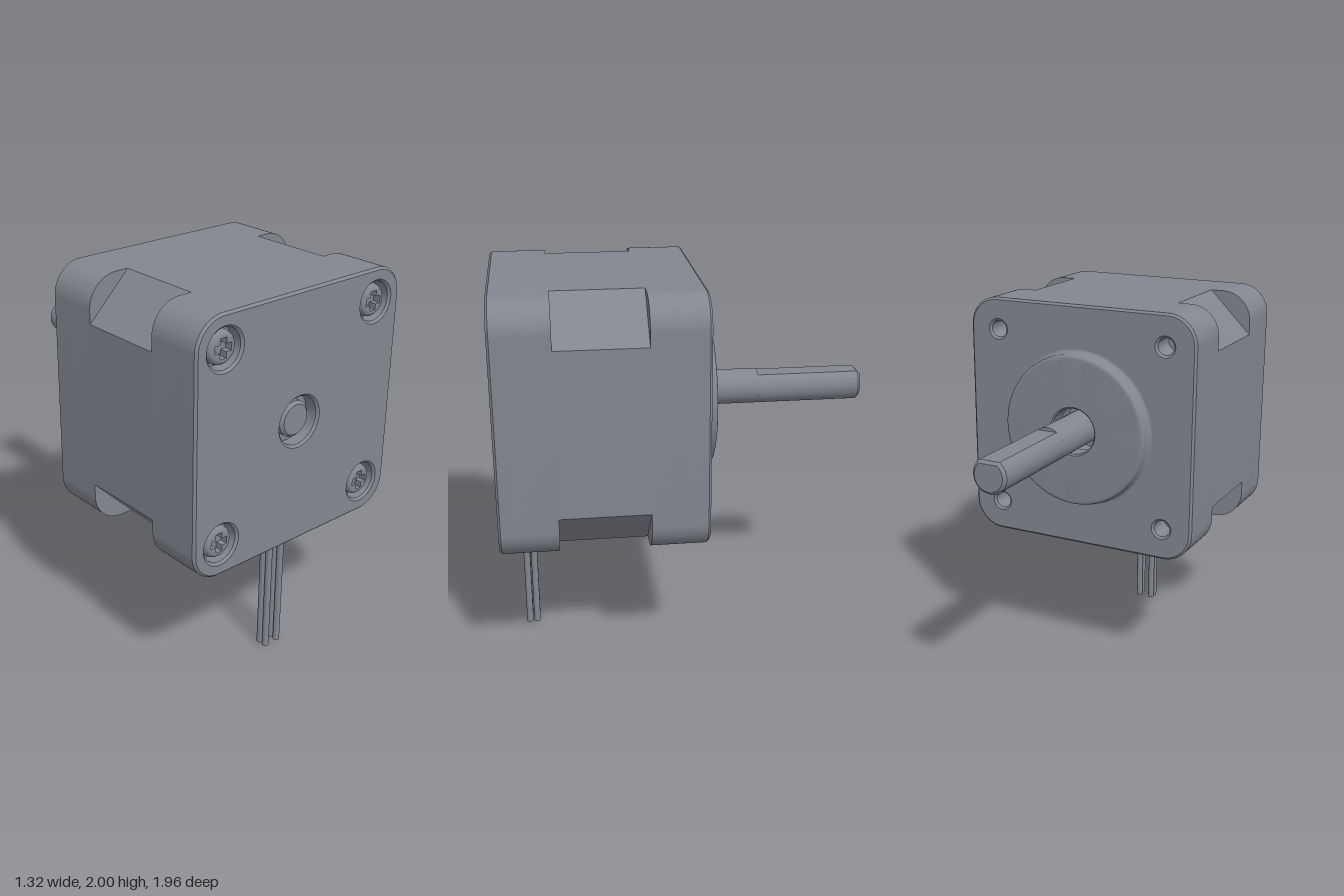
import * as THREE from 'three';
import { toCreasedNormals } from 'three/addons/utils/BufferGeometryUtils.js';

const HALF = 0.66, CY = 1.34, BOLT = 0.49, BEVEL = 0.012;
const metal = new THREE.MeshStandardMaterial({ color: 0x82868f });

function part(name, geometry, parent) {
  const mesh = new THREE.Mesh(toCreasedNormals(geometry, 0.45), metal);
  mesh.name = name;
  parent.add(mesh);
  return mesh;
}

// Extrudes a shape from z0 to z1, with a chamfer inside the outline
function slab(shape, z0, z1, bevel = 0) {
  const g = new THREE.ExtrudeGeometry(shape, {
    depth: z1 - z0 - 2 * bevel, curveSegments: 16, bevelEnabled: bevel > 0,
    bevelThickness: bevel, bevelSize: bevel, bevelOffset: -bevel, bevelSegments: 1,
  });
  return g.translate(0, 0, z0 + bevel);
}

// Turns a [radius, z] profile around the z axis
function turned(profile, segments = 48) {
  return new THREE.LatheGeometry(profile.map(p => new THREE.Vector2(...p)), segments).rotateX(Math.PI / 2);
}

function roundedSquare(r = 0.16) {
  const s = new THREE.Shape(), k = HALF - r;
  s.absarc(k, k, r, 0, Math.PI / 2);
  s.absarc(-k, k, r, Math.PI / 2, Math.PI);
  s.absarc(-k, -k, r, Math.PI, Math.PI * 1.5);
  s.absarc(k, -k, r, Math.PI * 1.5, Math.PI * 2);
  s.closePath();
  return s;
}

const corners = [[1, 1], [-1, 1], [-1, -1], [1, -1]].map(([x, y]) => [x * BOLT, y * BOLT]);

function platedSquare(boltRadius, centreRadius) {
  const s = roundedSquare();
  for (const [x, y, r] of [...corners.map(c => [...c, boltRadius]), [0, 0, centreRadius]])
    s.holes.push(new THREE.Path().absarc(x, y, r, 0, Math.PI * 2, true));
  return s;
}

function crossPath(w, l) {
  return [[w, l], [-w, l], [-w, w], [-l, w], [-l, -w], [-w, -w],
    [-w, -l], [w, -l], [w, -w], [l, -w], [l, w], [w, w]].map(p => new THREE.Vector2(...p));
}

export function createModel() {
  const model = new THREE.Group();
  model.name = 'steppingMotor';
  const motor = new THREE.Group();
  motor.name = 'motor';
  motor.position.y = CY;
  model.add(motor);

  // Middle stack with cut corners
  const k = HALF - 0.23;
  const octagon = new THREE.Shape([[HALF, -k], [HALF, k], [k, HALF], [-k, HALF], [-HALF, k],
    [-HALF, -k], [-k, -HALF], [k, -HALF]].map(p => new THREE.Vector2(...p)));
  part('middleStack', slab(octagon, 0.22, 0.68), motor);

  // End caps: solid inner block plus a drilled outer plate
  part('frontCapBlock', slab(roundedSquare(), 0.68, 0.89 + BEVEL), motor);
  part('frontCapPlate', slab(platedSquare(0.1, 0.125), 0.89, 0.98, BEVEL), motor);
  part('rearCapBlock', slab(roundedSquare(), 0.08 - BEVEL, 0.22), motor);
  part('rearCapPlate', slab(platedSquare(0.045, 0.14), -0.078, 0.08, BEVEL), motor);

  // Raised pilot ring around the shaft exit
  part('pilotRing', turned([[0.125, -0.05], [0.125, -0.142], [0.133, -0.15], [0.385, -0.15], [0.39, -0.15],
    [0.4, -0.147], [0.407, -0.14], [0.41, -0.13], [0.41, -0.1], [0.413, -0.09], [0.42, -0.081], [0.43, -0.077]], 64), motor);

  // Shaft: round length, then a length with a flat on top
  const R = 0.093, flat = 0.075;
  part('shaft', turned([[0, -0.42], [R, -0.42], [R, 0.94], [0.078, 0.955], [0, 0.955]]), motor);
  const a = Math.asin(flat / R);
  const dShape = new THREE.Shape().absarc(0, 0, R, Math.PI - a, Math.PI * 2 + a);
  dShape.closePath();
  part('shaftFlatEnd', slab(dShape, -0.98, -0.42 + 0.015, 0.015), motor);

  // Cross-recess screws in the front counterbores
  const face = new THREE.Shape().absarc(0, 0, 0.06, 0, Math.PI * 2);
  face.holes.push(new THREE.Path(crossPath(0.019, 0.049).reverse()));
  for (const [x, y] of corners) {
    const screw = new THREE.Group();
    screw.name = 'screw';
    screw.position.set(x, y, 0);
    motor.add(screw);
    part('screwRim', turned([[0.083, 0.89], [0.083, 0.935], [0.079, 0.95], [0.071, 0.96], [0.06, 0.965]], 32), screw);
    part('screwFace', slab(face, 0.91, 0.965), screw);
    part('screwRecessFloor', new THREE.CircleGeometry(0.06, 24).translate(0, 0, 0.925), screw);
  }

  // Wire outlet and four leads below
  const outlet = part('wireOutlet', new THREE.BoxGeometry(0.22, 0.03, 0.15), model);
  outlet.position.set(0, 0.69, 0.835);
  for (const x of [-0.04, 0.04]) for (const z of [0.817, 0.857]) {
    const wire = part('wire', new THREE.CylinderGeometry(0.0175, 0.0175, 0.69, 24), model);
    wire.position.set(x, 0.345, z);
  }
  return model;
}
